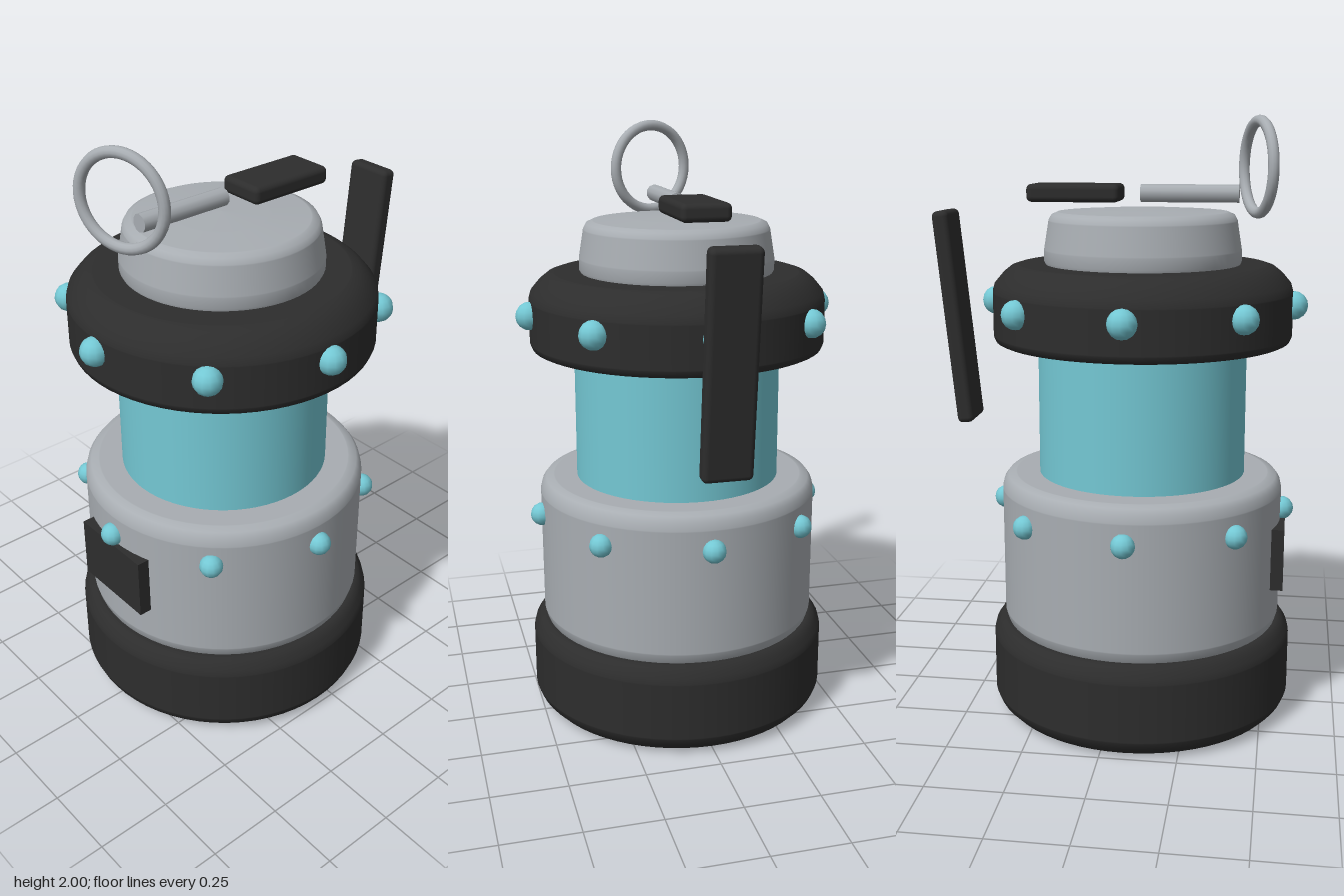
import * as THREE from 'three';
import { RoundedBoxGeometry } from 'three/addons/geometries/RoundedBoxGeometry.js';

export function createModel() {
  const model = new THREE.Group();
  model.name = 'canister';
  const mat = (name, color) => {
    const m = new THREE.MeshStandardMaterial({ color });
    m.name = name;
    return m;
  };
  const black = mat('black rubber', 0x2d2d2d);
  const grey = mat('grey metal', 0xa8adb2);
  const cyan = mat('cyan glow', 0x74c8d4);

  // The turned parts share an axis slightly in front of the centre
  const axisZ = 0.075;
  const add = (name, geometry, material, x = 0, y = 0, z = 0, parent = model) => {
    const mesh = new THREE.Mesh(geometry, material);
    mesh.name = name;
    mesh.position.set(x, y, z);
    parent.add(mesh);
    return mesh;
  };
  const body = new THREE.Group();
  body.name = 'body';
  body.position.z = axisZ;
  model.add(body);

  // Lathe with a short extra step next to each corner to keep flat areas flat
  const turned = (name, material, profile) => {
    const pts = [];
    profile.forEach(([r, y], i) => {
      const p = new THREE.Vector2(r, y);
      for (const q of [profile[i - 1], profile[i + 1]]) {
        if (!q) continue;
        const d = new THREE.Vector2(q[0] - r, q[1] - y);
        const step = d.length() > 0.05 ? 0.004 : 0;
        if (step && q === profile[i - 1]) pts.push(p.clone().addScaledVector(d.normalize(), step));
        if (q === (profile[i + 1] ?? profile[i - 1])) pts.push(p);
        if (step && q === profile[i + 1]) pts.push(p.clone().addScaledVector(d.normalize(), step));
      }
    });
    return add(name, new THREE.LatheGeometry(pts, 64), material, 0, 0, 0, body);
  };

  turned('base', black, [[0, 0], [0.455, 0], [0.48, 0.012], [0.503, 0.036], [0.513, 0.06],
    [0.513, 0.26], [0.508, 0.28], [0.497, 0.292], [0.49, 0.308], [0.475, 0.313], [0, 0.313]]);
  turned('lowerHousing', grey, [[0.455, 0.305], [0.466, 0.318], [0.474, 0.345], [0.475, 0.775],
    [0.469, 0.8], [0.455, 0.818], [0.43, 0.826], [0, 0.826]]);
  turned('glassCore', cyan, [[0.348, 0.8], [0.348, 1.29]]);
  turned('collar', black, [[0, 1.272], [0.475, 1.272], [0.488, 1.278], [0.495, 1.295],
    [0.495, 1.44], [0.488, 1.465], [0.46, 1.498], [0.435, 1.518], [0.41, 1.526], [0, 1.526]]);
  turned('cap', grey, [[0.315, 1.515], [0.325, 1.535], [0.325, 1.57], [0.309, 1.668],
    [0.3, 1.685], [0.28, 1.694], [0.15, 1.702], [0, 1.707]]);

  // Two rings of eight studs
  const studRing = (name, y, ring, r) => {
    const geometry = new THREE.SphereGeometry(r, 12, 8);
    for (let i = 0; i < 8; i++) {
      const a = (i * Math.PI) / 4;
      add(name, geometry, cyan, ring * Math.sin(a), y, ring * Math.cos(a), body);
    }
  };
  studRing('lowerStud', 0.705, 0.478, 0.039);
  studRing('upperStud', 1.395, 0.497, 0.047);

  // Front panel
  add('frontPanel', new THREE.BoxGeometry(0.306, 0.21, 0.045), black, 0, 0.568, 0.543);

  // Safety pin and pull ring
  const pin = add('pin', new THREE.CylinderGeometry(0.029, 0.029, 0.32, 10), grey, 0, 1.753, 0.228);
  pin.rotation.x = Math.PI / 2;
  const ring = add('pullRing', new THREE.TorusGeometry(0.145, 0.018, 12, 48), grey, 0, 1.837, 0.447);
  ring.rotation.y = 0.36;

  // Lever: flat top plate and tilted rear handle
  add('leverTop', new RoundedBoxGeometry(0.162, 0.058, 0.305, 3, 0.018), black, 0, 1.754, -0.147);
  const handle = add('leverHandle', new RoundedBoxGeometry(0.162, 0.715, 0.056, 3, 0.018), black, 0, 1.338, -0.557);
  handle.rotation.x = -0.1;

  return model;
}
